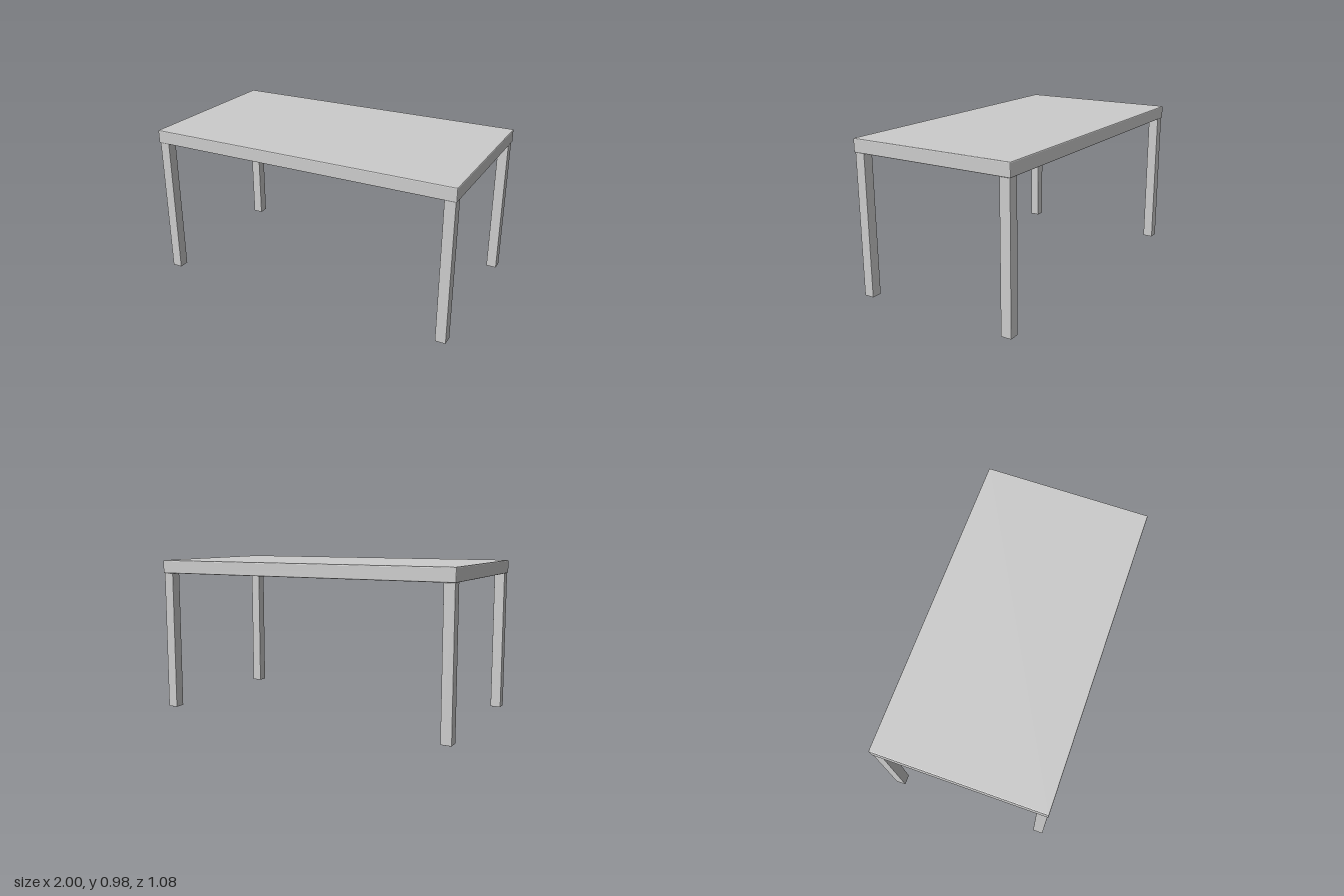
import * as THREE from 'three';
import { RoundedBoxGeometry } from 'three/addons/geometries/RoundedBoxGeometry.js';

const HALF_X = 1, HALF_Z = 0.54;
const TOP_Y = 0.98, UNDER_Y = 0.895;
const LEG = 0.066, INSET = 0.006;

export function createModel() {
  const table = new THREE.Group();
  table.name = 'table';
  const material = new THREE.MeshStandardMaterial({ color: 0xcccccc, flatShading: true });

  // Box with narrow eased edges, placed by its centre
  const addBox = (name, size, position, edge) => {
    const mesh = new THREE.Mesh(new RoundedBoxGeometry(...size, 1, edge), material);
    mesh.name = name;
    mesh.position.set(...position);
    table.add(mesh);
  };

  // Table top
  addBox('tableTop', [HALF_X * 2, TOP_Y - UNDER_Y, HALF_Z * 2], [0, (TOP_Y + UNDER_Y) / 2, 0], 0.006);

  // Four square legs, one at each corner, just inside the edge of the top
  const x = HALF_X - INSET - LEG / 2, z = HALF_Z - INSET - LEG / 2;
  for (const [side, sx] of [['Left', 1], ['Right', -1]]) {
    for (const [end, sz] of [['front', 1], ['back', -1]]) {
      addBox(`${end}${side}Leg`, [LEG, UNDER_Y, LEG], [sx * x, UNDER_Y / 2, sz * z], 0.002);
    }
  }
  return table;
}
